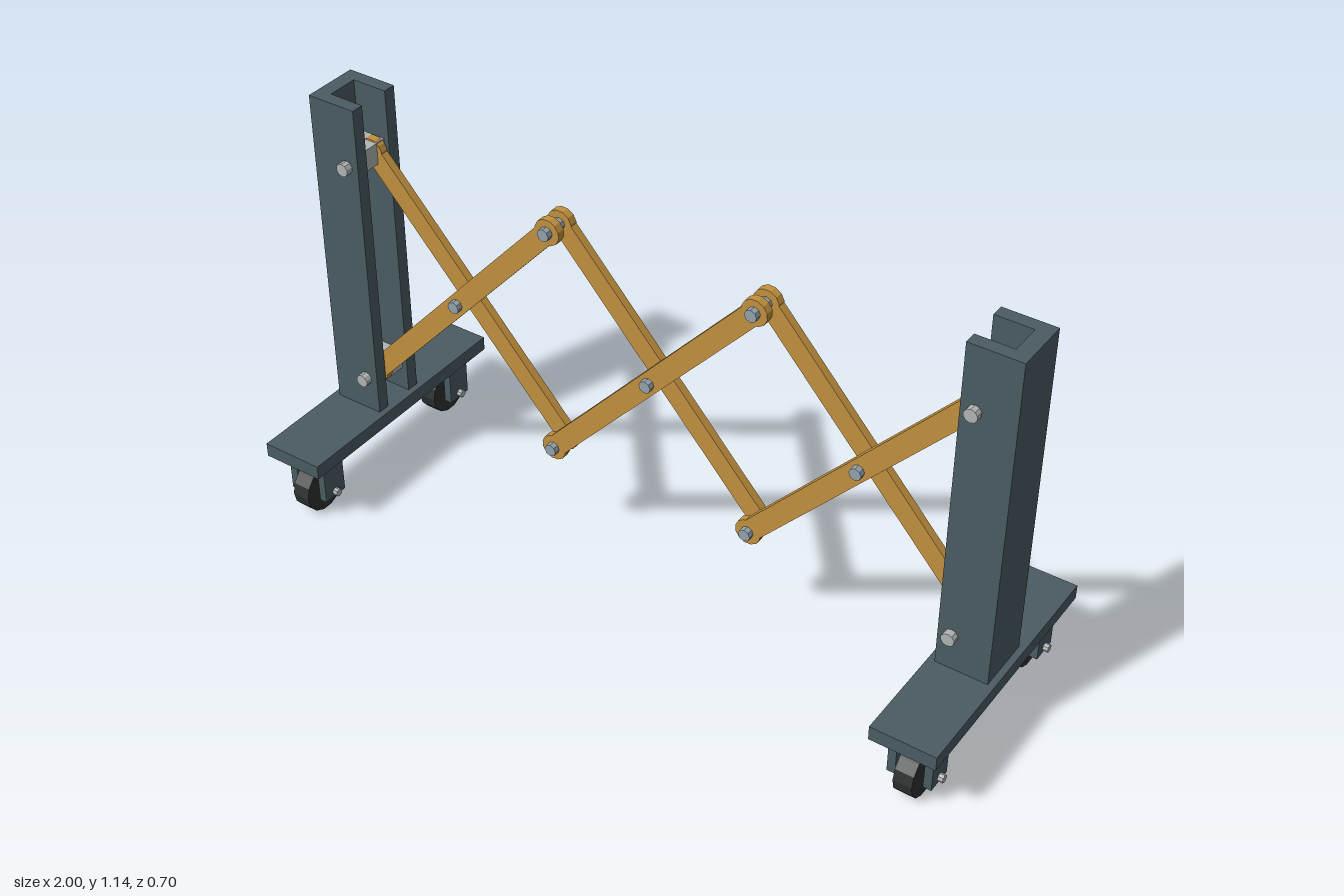
import * as THREE from 'three';

const mat = (name, color) => {
  const m = new THREE.MeshStandardMaterial({ color, flatShading: true });
  m.name = name;
  return m;
};

export function createModel() {
  const paint = mat('slate paint', 0x4b5c63);
  const wood = mat('amber wood', 0xc2913f);
  const steel = mat('pivot steel', 0x94a3ac);
  const silver = mat('bolt silver', 0xb2b5b5);
  const rubber = mat('black rubber', 0x2e3232);

  const model = new THREE.Group();
  model.name = 'scissorBarrier';

  const add = (parent, name, geo, material, x = 0, y = 0, z = 0) => {
    const m = new THREE.Mesh(geo, material);
    m.name = name;
    m.position.set(x, y, z);
    parent.add(m);
    return m;
  };
  const box = (w, h, d) => new THREE.BoxGeometry(w, h, d);
  const rodZ = (r, len, n) => new THREE.CylinderGeometry(r, r, len, n).rotateX(Math.PI / 2);
  const rodX = (r, len, n) => new THREE.CylinderGeometry(r, r, len, n).rotateZ(Math.PI / 2);

  const low = 0.32, high = 0.97, mid = (low + high) / 2;
  const step = 0.5855, pivotX = step * 1.5;

  // Caster: fork, wheel and axle, centred on x = 0, z = 0
  const makeCaster = (z) => {
    const g = new THREE.Group();
    g.name = 'caster';
    add(g, 'forkTop', box(0.118, 0.018, 0.074), paint, 0, 0.172, 0);
    for (const s of [-1, 1]) add(g, 'forkPlate', box(0.022, 0.125, 0.074), paint, s * 0.048, 0.1175, 0);
    add(g, 'wheel', rodX(0.07, 0.05, 14), rubber, 0, 0.07, 0);
    add(g, 'axle', rodX(0.011, 0.145, 8), silver, 0, 0.07, 0);
    g.position.z = z;
    return g;
  };

  // Post with its foot; the channel opens towards +x
  const makeEnd = () => {
    const g = new THREE.Group();
    g.name = 'endPost';
    const s = new THREE.Shape([
      [-0.07, -0.078], [0.07, -0.078], [0.07, -0.043], [-0.029, -0.043],
      [-0.029, 0.043], [0.07, 0.043], [0.07, 0.078], [-0.07, 0.078],
    ].map(([x, y]) => new THREE.Vector2(x, y)));
    const channel = new THREE.ExtrudeGeometry(s, { depth: 0.92, bevelEnabled: false }).rotateX(-Math.PI / 2);
    add(g, 'channelPost', channel, paint, 0, 0.22, 0);
    add(g, 'footPlate', box(0.175, 0.04, 0.7), paint, 0, 0.2, 0);
    for (const y of [low, high]) {
      add(g, 'slideBlock', box(0.084, 0.06, 0.085), silver, 0.0135, y, 0);
      add(g, 'postBolt', rodZ(0.018, 0.195, 10), silver, 0.9125 - pivotX, y, 0);
    }
    g.add(makeCaster(0.264), makeCaster(-0.264));
    return g;
  };

  const right = makeEnd();
  right.name = 'rightPost';
  right.position.x = -0.9125;
  const left = makeEnd();
  left.name = 'leftPost';
  left.position.x = 0.9125;
  left.rotation.y = Math.PI;
  model.add(right, left);

  // Lattice bars: rising ones in front, falling ones behind
  const length = Math.hypot(step, high - low);
  const angle = Math.atan2(high - low, step);
  for (const side of [1, -1]) {
    for (let i = -1; i <= 1; i++) {
      const bar = new THREE.Group();
      bar.name = side > 0 ? 'frontBar' : 'backBar';
      add(bar, 'slat', box(length, 0.056, 0.022), wood);
      for (const e of [-1, 1]) add(bar, 'slatEnd', rodZ(0.036, 0.022, 12), wood, e * length / 2, 0, 0);
      bar.position.set(i * step, mid, side * 0.025);
      bar.rotation.z = side * angle;
      model.add(bar);
    }
  }

  // Pivot pins at the crossings and the joints between bars
  for (const x of [-step, 0, step]) add(model, 'crossPin', rodZ(0.017, 0.105, 8), steel, x, mid, 0);
  for (const x of [-step / 2, step / 2])
    for (const y of [low, high]) add(model, 'jointPin', rodZ(0.017, 0.105, 8), steel, x, y, 0);

  return model;
}
